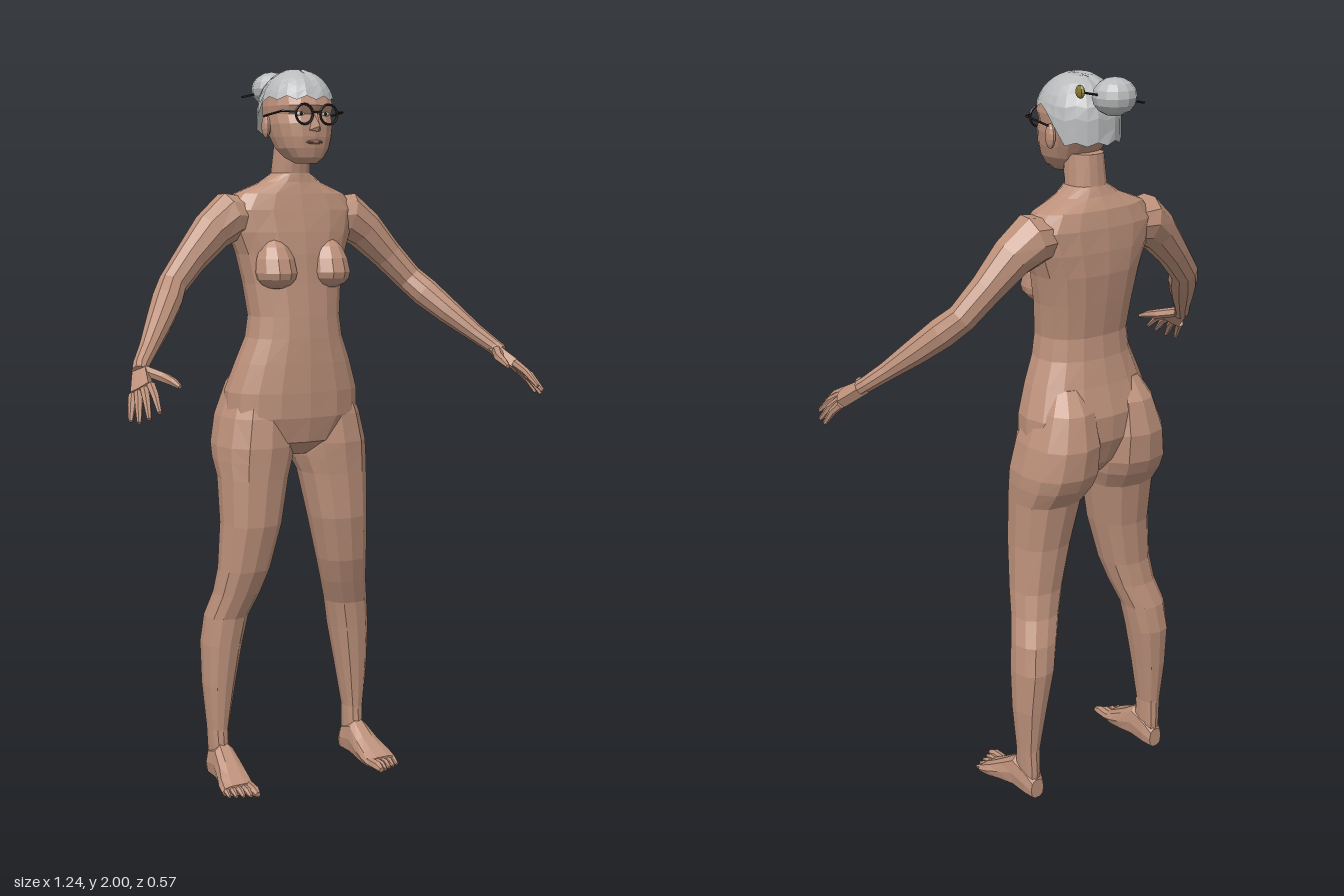
import * as THREE from 'three';
import { ConvexGeometry } from 'three/addons/geometries/ConvexGeometry.js';

const V = (x, y, z) => new THREE.Vector3(x, y, z);
const mat = (name, color, side = THREE.FrontSide) => {
  const m = new THREE.MeshStandardMaterial({ color, side });
  m.name = name;
  return m;
};

// Faceted shading: every triangle keeps its own normal
function facet(geo) {
  const g = geo.index ? geo.toNonIndexed() : geo;
  g.computeVertexNormals();
  return g;
}

// Mirror across x = 0 and restore the corner order
function mirrored(geo) {
  const g = geo.clone(), p = g.attributes.position, a = V(), b = V();
  g.scale(-1, 1, 1);
  for (let i = 0; i < p.count; i += 3) {
    a.fromBufferAttribute(p, i + 1);
    b.fromBufferAttribute(p, i + 2);
    p.setXYZ(i + 1, b.x, b.y, b.z);
    p.setXYZ(i + 2, a.x, a.y, a.z);
  }
  g.computeVertexNormals();
  return g;
}

// Skin a list of equal-sized rings, each counter-clockwise about the direction of travel
function loft(rings, capStart = true, capEnd = true) {
  const n = rings[0].length, pos = [], idx = [];
  rings.forEach(r => r.forEach(p => pos.push(p.x, p.y, p.z)));
  for (let i = 0; i < rings.length - 1; i++) {
    for (let j = 0; j < n; j++) {
      const a = i * n + j, b = i * n + (j + 1) % n;
      idx.push(a, b, b + n, a, b + n, a + n);
    }
  }
  const cap = (r, flip) => {
    const c = pos.length / 3, m = V(0, 0, 0);
    rings[r].forEach(p => m.addScaledVector(p, 1 / n));
    pos.push(m.x, m.y, m.z);
    for (let j = 0; j < n; j++) {
      const a = r * n + j, b = r * n + (j + 1) % n;
      idx.push(c, ...(flip ? [b, a] : [a, b]));
    }
  };
  if (capStart) cap(0, true);
  if (capEnd) cap(rings.length - 1, false);
  const g = new THREE.BufferGeometry();
  g.setAttribute('position', new THREE.Float32BufferAttribute(pos, 3));
  g.setIndex(idx);
  return facet(g);
}

const soft = (v, p = 0.85) => Math.sign(v) * Math.abs(v) ** p;
const around = (n, f) => Array.from({ length: n }, (_, j) => f(j / n * Math.PI * 2, j));

// Horizontal section: height, x range, front z, back z
const section = (n, [y, x0, x1, zf, zb]) => around(n, a =>
  V((x0 + x1) / 2 + (x1 - x0) / 2 * soft(Math.sin(a)), y, (zf + zb) / 2 + (zf - zb) / 2 * soft(Math.cos(a))));

// Round limb through points [x, y, z, radius]
function limb(pts, n = 6) {
  const c = pts.map(p => V(p[0], p[1], p[2])), ref = V(1, 1, 0).normalize();
  return loft(pts.map((p, i) => {
    const t = c[Math.min(i + 1, c.length - 1)].clone().sub(c[Math.max(i - 1, 0)]).normalize();
    const u = ref.clone().cross(t).normalize(), v = t.clone().cross(u);
    return around(n, a => c[i].clone().addScaledVector(u, p[3] * Math.cos(a)).addScaledVector(v, p[3] * Math.sin(a)));
  }));
}

function blob(x, y, z, rx, ry, rz, w = 10, h = 7) {
  return facet(new THREE.SphereGeometry(1, w, h).scale(rx, ry, rz).translate(x, y, z));
}

export function createModel() {
  const model = new THREE.Group();
  const skin = mat('skin', 0xbd917b), hair = mat('greyHair', 0xb9babb, THREE.DoubleSide);
  const frame = mat('darkFrame', 0x2b2422), gold = mat('oldGold', 0x8a7a30);
  const lip = mat('lip', 0x9c6e60), white = mat('eyeWhite', 0xd8d2cc);
  const add = (name, geo, m) => {
    const mesh = new THREE.Mesh(geo, m);
    mesh.name = name;
    model.add(mesh);
  };
  const pair = (name, geo, m) => {
    add('left' + name, geo, m);
    add('right' + name, mirrored(geo), m);
  };

  // Torso and neck: height, half width, front z, back z
  add('torso', loft([
    [0.94, 0.05, -0.06, -0.17], [0.98, 0.13, -0.012, -0.21], [1.05, 0.197, 0.003, -0.238],
    [1.12, 0.195, 0.005, -0.24], [1.2, 0.168, 0.003, -0.215], [1.27, 0.14, 0, -0.198],
    [1.33, 0.132, -0.005, -0.192], [1.42, 0.143, -0.015, -0.205], [1.5, 0.16, -0.022, -0.215],
    [1.56, 0.183, -0.03, -0.215], [1.62, 0.2, -0.042, -0.21], [1.665, 0.165, -0.052, -0.2],
    [1.695, 0.09, -0.06, -0.18], [1.72, 0.053, -0.063, -0.168], [1.8, 0.047, -0.05, -0.16],
  ].map(([y, w, f, b]) => section(16, [y, -w, w, f, b]))), skin);

  // Chest forms, drawn out towards the top
  const chest = new THREE.SphereGeometry(1, 10, 8);
  const cp = chest.attributes.position;
  for (let i = 0; i < cp.count; i++) {
    const y = cp.getY(i);
    if (y > 0) cp.setXYZ(i, cp.getX(i), y * 2.2, cp.getZ(i) - y * 0.35);
  }
  pair('Chest', facet(chest.scale(0.058, 0.045, 0.062).translate(0.083, 1.45, -0.043)), skin);

  // Legs: height, inner x, outer x, front z, back z
  pair('Leg', loft([
    [0.02, 0.195, 0.245, -0.1, -0.187], [0.08, 0.195, 0.246, -0.105, -0.19], [0.15, 0.194, 0.25, -0.11, -0.188],
    [0.28, 0.172, 0.262, -0.1, -0.203], [0.4, 0.15, 0.264, -0.09, -0.215], [0.48, 0.134, 0.256, -0.083, -0.205],
    [0.55, 0.108, 0.238, -0.058, -0.182], [0.62, 0.086, 0.229, -0.035, -0.173], [0.75, 0.055, 0.222, -0.012, -0.18],
    [0.88, 0.03, 0.223, -0.01, -0.203], [0.93, 0.012, 0.226, -0.008, -0.24], [0.97, 0.005, 0.225, -0.006, -0.258],
    [1.05, 0.008, 0.208, -0.015, -0.265], [1.14, 0.025, 0.175, -0.04, -0.243], [1.2, 0.05, 0.14, -0.08, -0.2],
  ].map(s => section(12, s))), skin);

  // Feet: z, centre x, half width, height
  pair('Foot', loft([
    [-0.19, 0.22, 0.022, 0.06], [-0.165, 0.22, 0.032, 0.09], [-0.11, 0.221, 0.034, 0.11],
    [-0.06, 0.224, 0.042, 0.075], [-0.02, 0.23, 0.05, 0.05], [0.012, 0.234, 0.05, 0.032],
  ].map(([z, x, w, h]) => around(10, a =>
    V(x + w * soft(Math.cos(a)), Math.max(0.002, h * (0.5 + 0.5 * soft(Math.sin(a), 0.7))), z)))), skin);
  for (let i = 0; i < 5; i++) {
    const r = i ? 0.0105 - i * 0.0005 : 0.014, x = 0.2 + i * 0.0178, tip = 0.066 - i * 0.008;
    pair('Toe' + (i + 1), limb([[x - 0.003, 0.02, -0.01, r], [x, 0.019, tip - 0.02, r], [x, r + 0.001, tip, r * 0.6]]), skin);
  }

  // Arms
  pair('Arm', limb([
    [0.12, 1.6, -0.13, 0.055], [0.185, 1.602, -0.128, 0.068], [0.24, 1.562, -0.12, 0.057], [0.31, 1.49, -0.108, 0.045],
    [0.372, 1.422, -0.088, 0.04], [0.405, 1.382, -0.05, 0.042], [0.45, 1.33, 0, 0.036],
    [0.505, 1.27, 0.06, 0.026], [0.543, 1.232, 0.1, 0.022], [0.553, 1.218, 0.118, 0.022],
  ], 10), skin);

  // Hands: knuckle and tip of each finger
  const fingers = [
    [[0.553, 1.192, 0.19], [0.568, 1.135, 0.279]], [[0.569, 1.183, 0.187], [0.592, 1.12, 0.27]],
    [[0.581, 1.174, 0.177], [0.607, 1.108, 0.242]], [[0.59, 1.167, 0.162], [0.615, 1.108, 0.206]],
  ];
  const normal = V(0.66, 0.71, 0.25), palm = [];
  const bases = [[0.528, 1.24, 0.1], [0.555, 1.22, 0.092], [0.538, 1.222, 0.13], ...fingers.map(f => f[0])];
  for (const b of bases) for (const s of [-0.013, 0.013]) palm.push(V(...b).addScaledVector(normal, s));
  pair('Palm', facet(new ConvexGeometry(palm)), skin);
  fingers.forEach(([k, t], i) => {
    const mid = k.map((v, a) => (v + t[a]) / 2);
    mid[1] += 0.007;
    pair('Finger' + (i + 1), limb([[...k, 0.012], [...mid, 0.0105], [...t, 0.006]]), skin);
  });
  pair('Thumb', limb([[0.54, 1.222, 0.12, 0.015], [0.51, 1.208, 0.175, 0.014], [0.501, 1.2, 0.21, 0.011], [0.495, 1.19, 0.238, 0.006]]), skin);

  // Head: height, half width, front z, back z
  add('head', loft([
    [1.745, 0.028, 0.004, -0.05], [1.76, 0.05, 0.02, -0.09], [1.785, 0.07, 0.026, -0.12], [1.815, 0.08, 0.03, -0.14],
    [1.85, 0.087, 0.03, -0.165], [1.875, 0.088, 0.02, -0.178], [1.898, 0.09, 0.032, -0.182],
    [1.94, 0.084, 0.015, -0.17], [1.97, 0.06, -0.015, -0.13],
  ].map(([y, w, f, b]) => section(16, [y, -w, w, f, b]))), skin);
  add('nose', facet(new ConvexGeometry([V(-0.007, 1.888, 0.022), V(0.007, 1.888, 0.022), V(0, 1.842, 0.056),
    V(-0.018, 1.832, 0.026), V(0.018, 1.832, 0.026), V(0, 1.828, 0.044), V(0, 1.86, 0.01)])), skin);
  add('mouth', blob(0, 1.801, 0.024, 0.026, 0.006, 0.009), lip);
  pair('Ear', blob(0.09, 1.845, -0.085, 0.011, 0.032, 0.019), skin);
  pair('Eye', blob(0.037, 1.876, 0.011, 0.016, 0.007, 0.008), white);
  pair('Pupil', blob(0.037, 1.876, 0.018, 0.005, 0.005, 0.003, 6, 5), frame);

  // Glasses
  pair('LensRim', facet(new THREE.TorusGeometry(0.026, 0.0035, 5, 16).translate(0.037, 1.874, 0.036)), frame);
  pair('Temple', limb([[0.062, 1.879, 0.036, 0.003], [0.092, 1.882, 0.015, 0.003], [0.097, 1.872, -0.085, 0.003]], 5), frame);
  add('glassesBridge', facet(new THREE.BoxGeometry(0.024, 0.005, 0.005).translate(0, 1.88, 0.038)), frame);

  // Hair cap: short over the brow, long at the nape, with a centre parting
  const steps = 7, n = 24, capRings = [];
  for (let k = 0; k < steps; k++) {
    capRings.push(around(n, (a, j) => {
      const back = THREE.MathUtils.smoothstep(a > Math.PI ? 2 * Math.PI - a : a, 1.5, 2.1);
      const edge = 0.24 - 0.8 * back + (j % 2 ? 0.06 : -0.04);
      const el = edge + (Math.PI / 2 - 0.08 - edge) * k / steps;
      const r = Math.cos(Math.max(el, 0)), part = j % (n / 2) === 0 && k > 0 ? 0.965 : 1;
      return V(0.104 * r * Math.sin(a), 1.89 + 0.11 * part * Math.sin(el), -0.083 + 0.12 * part * r * Math.cos(a));
    }));
  }
  add('hairCap', loft(capRings, false, true), hair);

  // Bun and hairpin
  add('bun', blob(0, 1.953, -0.228, 0.058, 0.048, 0.056, 12, 8), hair);
  add('hairpin', limb([[-0.09, 1.93, -0.235, 0.003], [0.105, 1.973, -0.225, 0.003]], 5), frame);
  add('pinBead', blob(0.106, 1.974, -0.225, 0.008, 0.017, 0.017, 8, 6), gold);
  return model;
}
